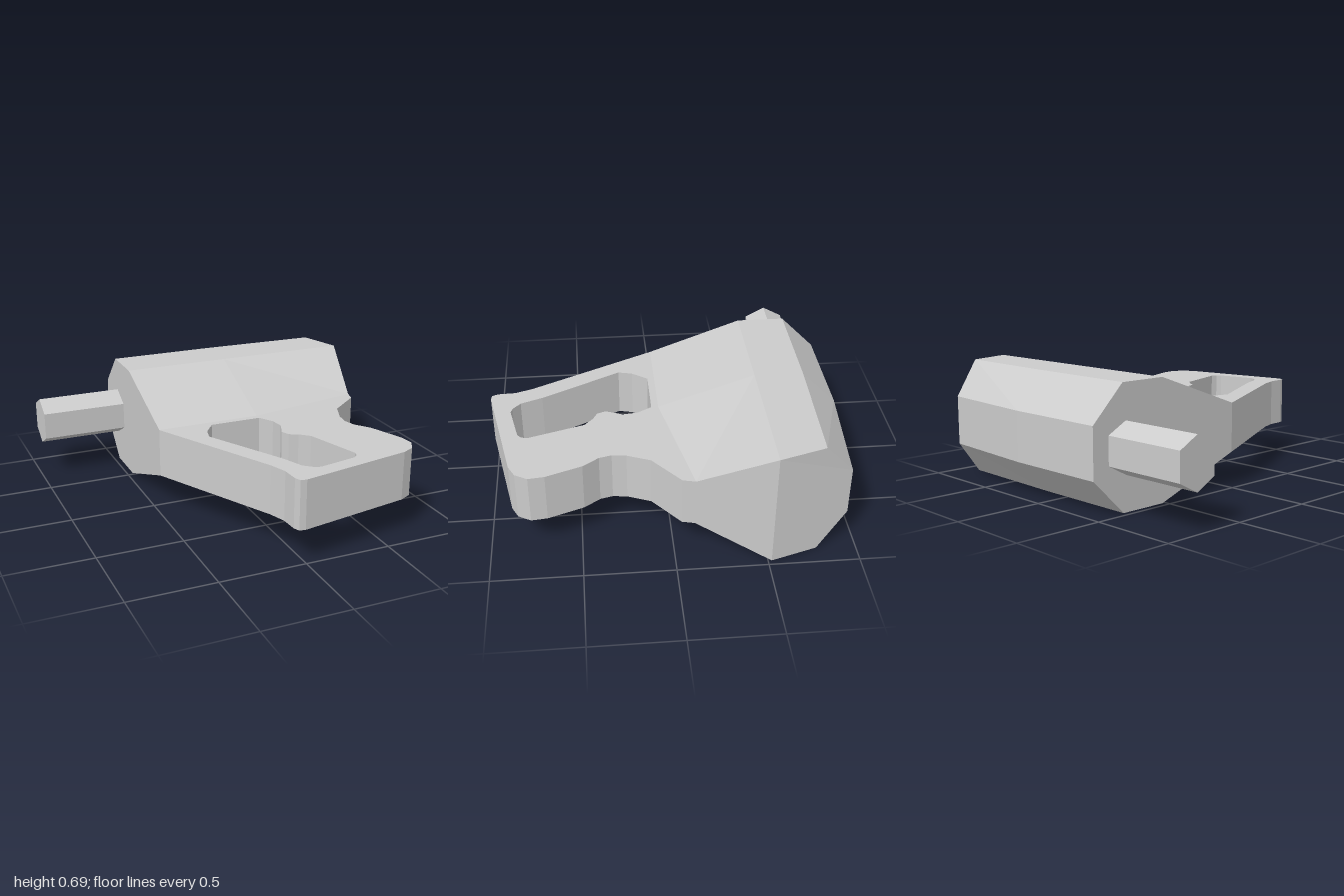
import * as THREE from 'three';

const LOW = 0.2, HIGH = 0.485, TOP = 0.685, MID = 0.343;

function part(name, geometry) {
  const material = new THREE.MeshStandardMaterial({ color: 0xcccccc, flatShading: true });
  const mesh = new THREE.Mesh(geometry, material);
  mesh.name = name;
  return mesh;
}

// Faceted body: eight-sided rings lofted along x, each edge line given as [x, z] per station
function bodyGeometry() {
  const back = [[-0.465, -1], [0.17, -1], [0.83, -0.95]];
  const crestBack = [[-0.465, -0.8], [0.17, -0.8], [0.89, -0.78]];
  const crestFront = [[-0.465, -0.52], [0.17, -0.52], [0.97, -0.52]];
  const front = [[-0.465, 0.03], [0.15, 0.03], [0.857, -0.11]];
  const edges = [
    [back, HIGH], [crestBack, TOP], [crestFront, TOP], [front, HIGH],
    [front, LOW], [crestFront, 0], [crestBack, 0], [back, LOW],
  ];
  const n = edges.length, positions = [], index = [];
  for (let s = 0; s < 3; s++) {
    for (const [line, y] of edges) positions.push(line[s][0], y, line[s][1]);
  }
  // side facets
  for (let s = 0; s < 2; s++) {
    for (let i = 0; i < n; i++) {
      const a = s * n + i, b = s * n + (i + 1) % n;
      index.push(a, b, b + n, a, b + n, a + n);
    }
  }
  // end caps, fanned from the crest so the far end folds along it
  for (let k = 1; k < n - 1; k++) {
    const i = (2 + k) % n, j = (3 + k) % n;
    index.push(2, j, i, 2 * n + 2, 2 * n + i, 2 * n + j);
  }
  const indexed = new THREE.BufferGeometry();
  indexed.setAttribute('position', new THREE.Float32BufferAttribute(positions, 3));
  indexed.setIndex(index);
  const geometry = indexed.toNonIndexed();
  geometry.computeVertexNormals();
  return geometry;
}

// Flat grip plate with a finger opening, outlined in [x, z] and extruded upward
function gripGeometry() {
  const toPoints = (list) => list.map(([x, z]) => new THREE.Vector2(x, -z));
  const outline = [
    [-0.465, 0.03], [-0.1, 0.76], [-0.065, 0.86], [-0.06, 0.96], [-0.045, 0.995], [-0.01, 1],
    [0.65, 0.875], [0.72, 0.84], [0.76, 0.77], [0.75, 0.68], [0.675, 0.48], [0.61, 0.39],
    [0.592, 0.32], [0.602, 0.24], [0.655, 0.11], [0.84, -0.04], [0.857, -0.11], [0.15, 0.03],
  ];
  const opening = [
    [-0.155, 0.07], [0.15, 0.07], [0.2, 0.155], [0.21, 0.24], [0.17, 0.335], [0.19, 0.385],
    [0.24, 0.41], [0.295, 0.46], [0.395, 0.78], [0.385, 0.815], [0.36, 0.835], [0.135, 0.88],
    [0.1, 0.87], [0.05, 0.825], [0, 0.7], [-0.24, 0.24], [-0.22, 0.16],
  ];
  const shape = new THREE.Shape(toPoints(outline));
  shape.holes.push(new THREE.Path(toPoints(opening)));
  const geometry = new THREE.ExtrudeGeometry(shape, { depth: HIGH - LOW, bevelEnabled: false });
  return geometry.rotateX(-Math.PI / 2).translate(0, LOW, 0);
}

// Hexagonal barrel running along x, with corners at top and bottom
function barrelGeometry() {
  const hexagon = [[0, 0.143], [-0.118, 0.08], [-0.118, -0.08], [0, -0.143], [0.118, -0.08], [0.118, 0.08]];
  const shape = new THREE.Shape(hexagon.map(([z, y]) => new THREE.Vector2(z, y)));
  const geometry = new THREE.ExtrudeGeometry(shape, { depth: 0.53, bevelEnabled: false });
  return geometry.rotateY(-Math.PI / 2).translate(-0.445, MID, -0.78);
}

export function createModel() {
  const model = new THREE.Group();
  model.name = 'toolGun';
  model.add(
    part('body', bodyGeometry()),
    part('grip', gripGeometry()),
    part('barrel', barrelGeometry()),
  );
  return model;
}
